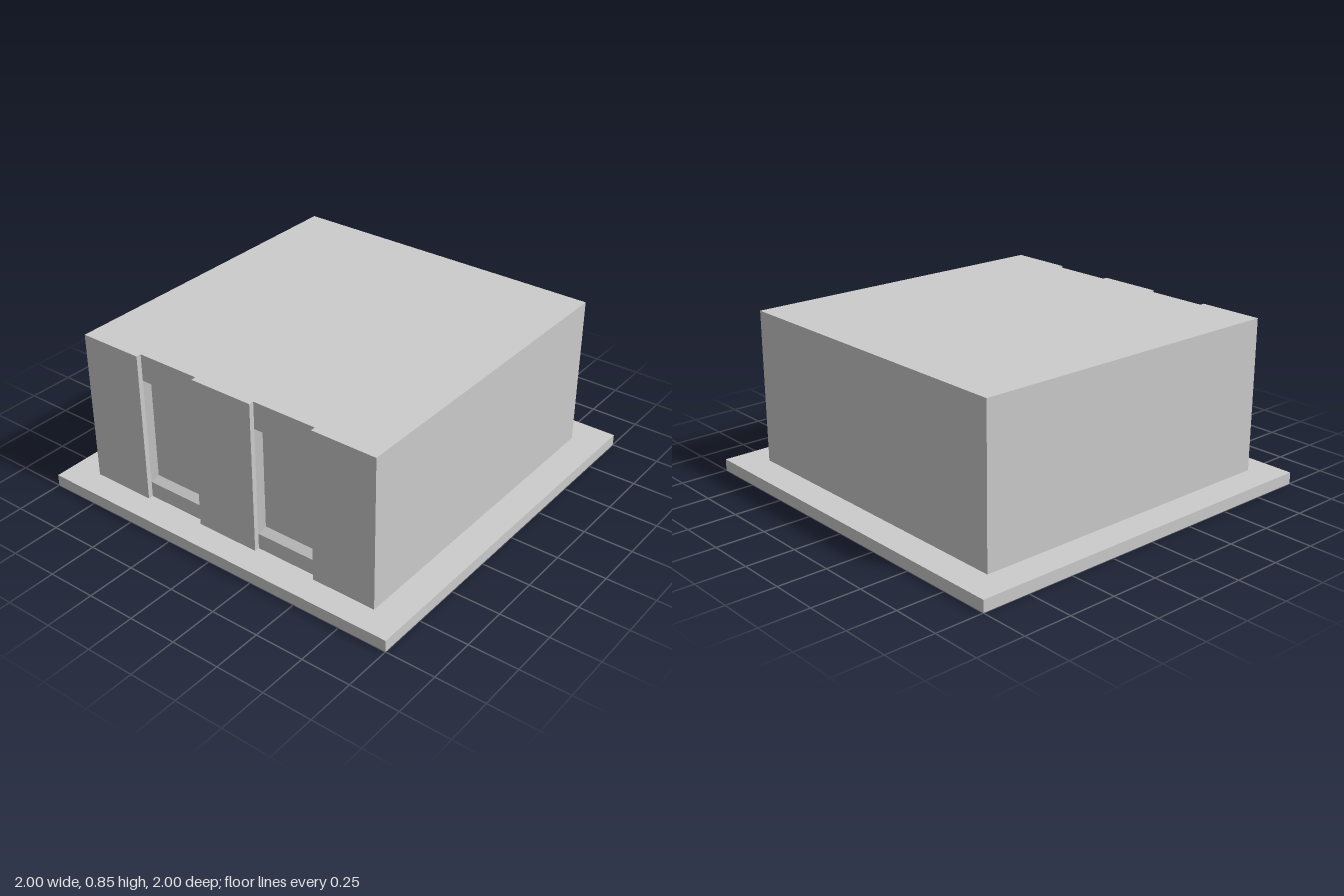
import * as THREE from 'three';

const material = new THREE.MeshStandardMaterial({ color: 0xcccccc, flatShading: true });

// Main dimensions
const SIDE = 0.842, BACK = -0.842, FRONT = 0.868;
const BAY_Z = 0.842, PANE_Z = 0.808;
const FLOOR = 0.06, ROOF = 0.845;
const BAY_IN = 0.168, BAY_OUT = 0.505;
const SILL = 0.142, HEAD = 0.706;

function addMesh(parent, name, geometry) {
  const mesh = new THREE.Mesh(geometry, material);
  mesh.name = name;
  parent.add(mesh);
  return mesh;
}

function addBox(parent, name, x0, x1, y0, y1, z0, z1) {
  const mesh = addMesh(parent, name, new THREE.BoxGeometry(x1 - x0, y1 - y0, z1 - z0));
  mesh.position.set((x0 + x1) / 2, (y0 + y1) / 2, (z0 + z1) / 2);
}

// Sloping reveal that joins the opening at the bay face to the smaller pane behind it
function revealGeometry(x0, x1, y0, y1) {
  const rect = (dx, dy, z) => [
    [x0 + dx, y0 + dy, z], [x1 - dx, y0 + dy, z],
    [x1 - dx, y1 - dy, z], [x0 + dx, y1 - dy, z],
  ];
  const outer = rect(0, 0, BAY_Z), inner = rect(0.017, 0.029, PANE_Z);
  const points = [];
  for (let i = 0; i < 4; i++) {
    const j = (i + 1) % 4;
    points.push(outer[i], outer[j], inner[j], outer[i], inner[j], inner[i]);
  }
  const geometry = new THREE.BufferGeometry();
  geometry.setAttribute('position', new THREE.Float32BufferAttribute(points.flat(), 3));
  geometry.computeVertexNormals();
  return geometry;
}

export function createModel() {
  const model = new THREE.Group();
  model.name = 'building';

  // Ground slab
  addBox(model, 'baseSlab', -1, 1, 0, FLOOR, -1, 1);

  // Solid body: floor plan with two bays notched back to the panes
  const plan = [
    [-SIDE, FRONT],
    [-BAY_OUT, FRONT], [-BAY_OUT, PANE_Z], [-BAY_IN, PANE_Z], [-BAY_IN, FRONT],
    [BAY_IN, FRONT], [BAY_IN, PANE_Z], [BAY_OUT, PANE_Z], [BAY_OUT, FRONT],
    [SIDE, FRONT], [SIDE, BACK], [-SIDE, BACK],
  ];
  const shape = new THREE.Shape(plan.map(([x, z]) => new THREE.Vector2(x, -z)));
  const body = new THREE.ExtrudeGeometry(shape, { depth: ROOF - FLOOR, bevelEnabled: false });
  body.rotateX(-Math.PI / 2).translate(0, FLOOR, 0);
  addMesh(model, 'body', body);

  // Recessed window bays
  for (const side of [-1, 1]) {
    const x0 = side < 0 ? -BAY_OUT : BAY_IN;
    const x1 = x0 + BAY_OUT - BAY_IN;
    const bay = new THREE.Group();
    bay.name = side < 0 ? 'rightWindowBay' : 'leftWindowBay';
    addBox(bay, 'lowerPanel', x0, x1, FLOOR, SILL, PANE_Z, BAY_Z);
    addBox(bay, 'upperPanel', x0, x1, HEAD, ROOF, PANE_Z, BAY_Z);
    addMesh(bay, 'windowReveal', revealGeometry(x0, x1, SILL, HEAD));
    model.add(bay);
  }
  return model;
}
